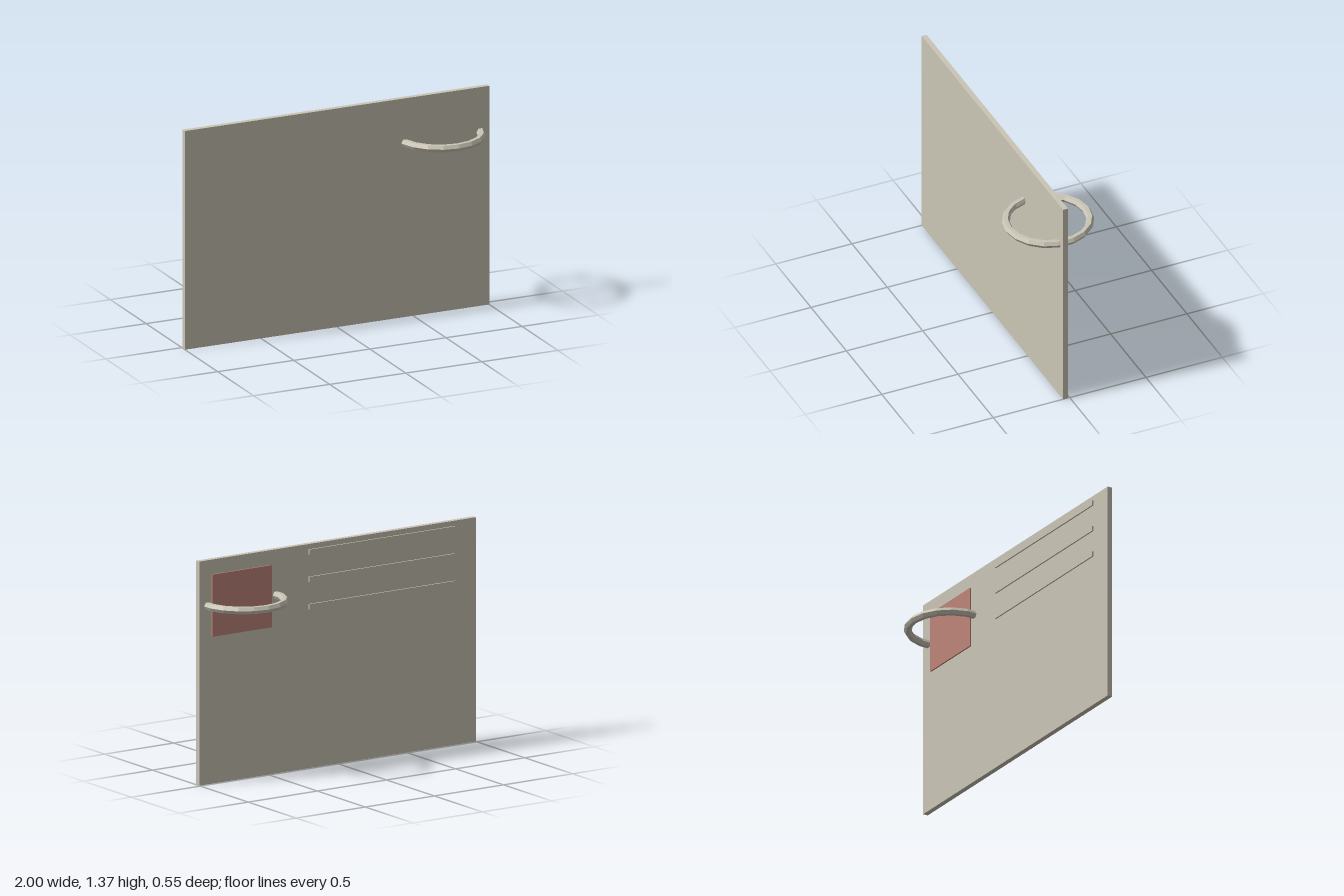
import * as THREE from 'three';

export function createModel() {
  const group = new THREE.Group();
  const cream = new THREE.MeshStandardMaterial({ color: 0xcac5b5 });
  cream.name = 'cream';
  cream.flatShading = true;
  const red = new THREE.MeshStandardMaterial({ color: 0xbe857a });
  red.name = 'dusty red';

  // Box given by its extents
  function slab(name, material, x0, x1, y0, y1, z0, z1) {
    const mesh = new THREE.Mesh(new THREE.BoxGeometry(x1 - x0, y1 - y0, z1 - z0), material);
    mesh.position.set((x0 + x1) / 2, (y0 + y1) / 2, (z0 + z1) / 2);
    mesh.name = name;
    group.add(mesh);
  }

  // Card sheet
  slab('card', cream, -1, 1, 0, 1.37, 0.011, 0.043);

  // Raised patch on the back
  slab('patch', red, 0.48, 0.91, 0.9, 1.28, 0.002, 0.0112);

  // Three raised writing lines on the back
  for (let i = 0; i < 3; i++) {
    const y = 1.322 - i * 0.167;
    slab('writingLine' + (i + 1), cream, -0.845, 0.21, y - 0.016, y + 0.016, 0.002, 0.0112);
  }

  // Six-sided ring piercing the card, with a corner at its front and back
  const ringGeometry = new THREE.TorusGeometry(0.252, 0.0242, 6, 18);
  ringGeometry.rotateZ(Math.PI / 2).rotateX(Math.PI / 2);
  const ring = new THREE.Mesh(ringGeometry, cream);
  ring.position.set(0.693, 1.091, 0);
  ring.name = 'ring';
  group.add(ring);

  return group;
}
